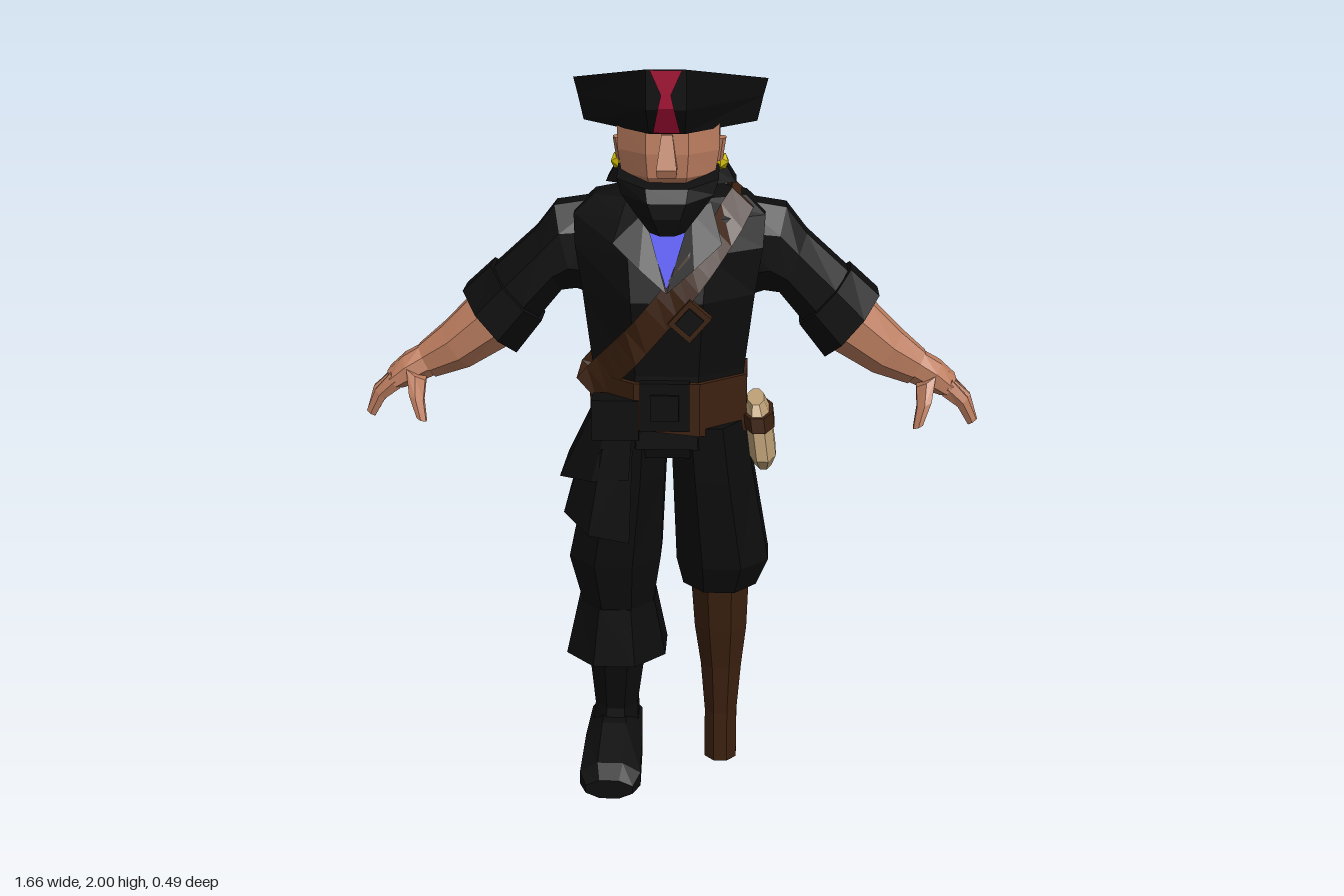
import * as THREE from 'three';

const mat = (name, color) => Object.assign(new THREE.MeshStandardMaterial({ color, flatShading: true, side: THREE.DoubleSide }), { name });
const V = (x, y, z) => new THREE.Vector3(x, y, z);

// Ring of n points around c, touching c +- u and c +- v with flat sides
function ring(c, u, v, n = 8) {
  const k = 1 / Math.cos(Math.PI / n);
  return Array.from({ length: n }, (_, i) => {
    const t = ((i + 0.5) / n) * Math.PI * 2;
    return c.clone().addScaledVector(u, k * Math.cos(t)).addScaledVector(v, k * Math.sin(t));
  });
}
// Horizontal ring: centre x, height, half width, front z, back z, rise towards the back
const H = (cx, y, a, zf, zb, rise = 0, n = 8) =>
  ring(V(cx, y, (zf + zb) / 2), V(a, 0, 0), V(0, -rise, (zf - zb) / 2), n);
// Limb ring: from an upper edge point to a lower edge point, front z, back z
const L = (s, tx, ty, bx, by, zf, zb, n = 8) =>
  ring(V(s * (tx + bx) / 2, (ty + by) / 2, (zf + zb) / 2), V(s * (tx - bx) / 2, (ty - by) / 2, 0), V(0, 0, (zf - zb) / 2), n);

function build(tris) {
  return new THREE.BufferGeometry().setFromPoints(tris);
}
// Capped skin through rings, turned so that it faces outwards
function loft(rings) {
  const t = [], n = rings[0].length;
  for (let r = 0; r < rings.length - 1; r++) {
    for (let i = 0; i < n; i++) {
      const j = (i + 1) % n, A = rings[r], B = rings[r + 1];
      t.push(A[i], A[j], B[j], A[i], B[j], B[i]);
    }
  }
  const last = rings[rings.length - 1];
  for (let i = 1; i < n - 1; i++) t.push(rings[0][0], rings[0][i + 1], rings[0][i], last[0], last[i], last[i + 1]);
  let volume = 0;
  const o = rings[0][0], d = (p) => p.clone().sub(o);
  for (let i = 0; i < t.length; i += 3) volume += d(t[i]).dot(d(t[i + 1]).cross(d(t[i + 2])));
  if (volume < 0) for (let i = 0; i < t.length; i += 3) [t[i + 1], t[i + 2]] = [t[i + 2], t[i + 1]];
  return build(t);
}
// Open strip between two rows of points
function strip(A, B) {
  const t = [];
  for (let i = 0; i < A.length - 1; i++) t.push(A[i], B[i], B[i + 1], A[i], B[i + 1], A[i + 1]);
  return build(t);
}
// Thin flat plate
function plate(pts) {
  const p = pts.map((q) => V(...q)), t = [];
  for (let i = 1; i < p.length - 1; i++) t.push(p[0], p[i], p[i + 1]);
  return build(t);
}

export function createModel() {
  const model = new THREE.Group();
  const black = mat('blackCloth', 0x0d0d0d), brown = mat('brownLeather', 0x3c2110), skin = mat('skin', 0xbc7d5f);
  const cream = mat('creamCanvas', 0xbfa278), blue = mat('blueShirt', 0x1212e6);
  const red = mat('redTrim', 0xa80f35), gold = mat('gold', 0xd2be00);
  const add = (name, geometry, material) => {
    if (!geometry.attributes.normal) geometry.computeVertexNormals();
    const m = new THREE.Mesh(geometry, material);
    m.name = name;
    model.add(m);
    return m;
  };

  // Torso: height, half width, front z, back z
  const torso = [
    [1.0, 0.195, 0.15, -0.16], [1.2, 0.2, 0.145, -0.17], [1.4, 0.225, 0.16, -0.205], [1.52, 0.245, 0.135, -0.205],
    [1.6, 0.25, 0.085, -0.19], [1.645, 0.2, 0.03, -0.17], [1.66, 0.13, 0.0, -0.15],
  ];
  add('coatTorso', loft(torso.map(([y, a, f, b]) => H(0, y, a, f, b))), black);
  add('collar', loft([H(0, 1.62, 0.14, 0.05, -0.18, 0.02), H(0, 1.675, 0.115, 0.0, -0.16, 0.01)]), black);
  add('shirtFront', plate([[-0.065, 1.62, 0.095], [0, 1.44, 0.172], [0.065, 1.62, 0.095]]), blue);
  for (const s of [-1, 1]) {
    add('lapel', plate([[s * 0.06, 1.625, 0.1], [0, 1.43, 0.178], [s * 0.07, 1.49, 0.165], [s * 0.14, 1.55, 0.13], [s * 0.11, 1.645, 0.06]]), black);
  }

  // Shoulder strap: a slanted loop that follows the torso
  const surface = (x, y, side) => {
    let i = 0;
    while (i < torso.length - 2 && torso[i + 1][0] < y) i++;
    const k = THREE.MathUtils.clamp((y - torso[i][0]) / (torso[i + 1][0] - torso[i][0]), 0, 1);
    const [, a, f, b] = torso[i].map((q, j) => q + (torso[i + 1][j] - q) * k);
    const out = Math.max(0.414, Math.min(1, 1.414 - Math.abs(x) / a));
    return (f + b) / 2 + side * (((f - b) / 2) * out + 0.016);
  };
  const upper = [], lower = [];
  for (let i = 0; i <= 32; i++) {
    const side = i % 32 < 16 ? 1 : -1, s = i < 16 ? i / 15 : (31 - i) / 15;
    const x = i === 32 ? 0.19 : 0.19 - 0.405 * s, y = i === 32 ? 1.65 : 1.65 - 0.51 * Math.pow(s, 0.9);
    const w = 0.04;
    upper.push(V(x - w * 0.7, y + w * 0.75, surface(x - w * 0.7, Math.min(y + w * 0.75, 1.65), side)));
    lower.push(V(x + w * 0.7, y - w * 0.75, surface(x + w * 0.7, y - w * 0.75, side)));
    if (s < 0.15) upper[i].y = Math.min(upper[i].y, 1.668);
  }
  add('shoulderStrap', strip(upper, lower), brown);
  const strapBuckle = add('strapBuckle', new THREE.BoxGeometry(0.085, 0.075, 0.03), brown);
  const buckleFrame = add('strapBuckleFrame', new THREE.BoxGeometry(0.055, 0.05, 0.008), black);
  strapBuckle.position.set(0.06, 1.36, 0.172);
  buckleFrame.position.set(0.06, 1.36, 0.19);
  strapBuckle.rotation.z = buckleFrame.rotation.z = 0.85;

  // Waist belt, buckle and the coat front that overlaps it
  add('belt', loft([1.05, 1.185].map((y) => {
    const r = H(0, y, 0.208, 0.162, -0.178);
    r.forEach((p) => { p.y -= p.x * (y < 1.1 ? 0.1 : 0); });
    return r;
  })), brown);
  add('coatFrontFlap', loft([H(-0.135, 1.03, 0.062, 0.17, 0.1, 0, 4), H(-0.135, 1.14, 0.062, 0.17, 0.1, 0, 4)]), black);
  add('beltBuckle', new THREE.BoxGeometry(0.13, 0.13, 0.03), black).position.set(-0.005, 1.125, 0.162);
  add('beltBucklePlate', new THREE.BoxGeometry(0.075, 0.07, 0.008), black).position.set(-0.005, 1.125, 0.181);

  // Pouch on the left hip
  add('pouch', loft([H(0.255, 0.92, 0.022, 0.07, -0.055), H(0.252, 0.955, 0.036, 0.11, -0.09),
    H(0.238, 1.06, 0.036, 0.105, -0.085), H(0.232, 1.105, 0.022, 0.08, -0.06)]), cream);
  add('pouchStrap', loft([H(0.241, 1.035, 0.042, 0.112, -0.092), H(0.236, 1.075, 0.042, 0.108, -0.088)]), brown);

  // Trousers
  add('hips', loft([H(0, 0.97, 0.19, 0.13, -0.15), H(0, 1.08, 0.195, 0.15, -0.165)]), black);
  add('rightTrouser', loft([H(-0.105, 1.06, 0.1, 0.15, -0.165), H(-0.115, 0.9, 0.105, 0.14, -0.16),
    H(-0.147, 0.65, 0.125, 0.125, -0.14), H(-0.14, 0.5, 0.095, 0.1, -0.12)]), black);
  add('leftTrouser', loft([H(0.105, 1.06, 0.1, 0.15, -0.165), H(0.12, 0.9, 0.108, 0.14, -0.16),
    H(0.147, 0.65, 0.125, 0.125, -0.14), H(0.14, 0.57, 0.1, 0.1, -0.13)]), black);

  // Two layers of coat tail around the right hip
  const tail = (pts) => pts.map((p) => V(...p));
  add('upperCoatTail', strip(
    tail([[-0.09, 1.06, 0.16], [-0.16, 1.06, 0.14], [-0.21, 1.06, 0.07], [-0.21, 1.06, -0.08], [-0.1, 1.06, -0.17], [0, 1.06, -0.17]]),
    tail([[-0.1, 0.92, 0.17], [-0.2, 0.91, 0.16], [-0.29, 0.9, 0.09], [-0.285, 0.9, -0.11], [-0.14, 0.9, -0.205], [0, 0.92, -0.2]])), black);
  add('lowerCoatTail', strip(
    tail([[-0.09, 1.0, 0.16], [-0.17, 1.0, 0.155], [-0.225, 0.98, 0.08], [-0.225, 0.98, -0.1], [-0.1, 1.0, -0.175], [-0.01, 1.0, -0.17]]),
    tail([[-0.1, 0.74, 0.172], [-0.21, 0.76, 0.17], [-0.28, 0.8, 0.1], [-0.28, 0.8, -0.12], [-0.15, 0.765, -0.215], [-0.02, 0.79, -0.2]])), black);

  // Boot on the right leg
  add('bootCuff', loft([H(-0.148, 0.35, 0.138, 0.12, -0.18), H(-0.145, 0.515, 0.105, 0.105, -0.14)]), black);
  add('bootShaft', loft([H(-0.155, 0.1, 0.065, 0.03, -0.14), H(-0.152, 0.17, 0.06, 0.02, -0.125), H(-0.145, 0.4, 0.085, 0.07, -0.13)]), black);
  add('bootFoot', loft([[0.245, 0.065, 0.01, 0.065], [0.2, 0.084, 0, 0.095], [0.05, 0.08, 0, 0.14], [-0.1, 0.072, 0, 0.16], [-0.15, 0.06, 0.01, 0.12]]
    .map(([z, a, y0, y1]) => ring(V(-0.155, (y0 + y1) / 2, z), V(a, 0, 0), V(0, (y1 - y0) / 2, 0)))), black);

  // Wooden peg for the left leg
  add('pegLeg', loft([H(0.145, 0, 0.045, 0, -0.1), H(0.145, 0.15, 0.045, 0, -0.105), H(0.145, 0.3, 0.057, 0.015, -0.115),
    H(0.143, 0.42, 0.072, 0.035, -0.125), H(0.14, 0.58, 0.08, 0.055, -0.12)]), brown);

  // Arms, mirrored
  for (const s of [-1, 1]) {
    const side = s > 0 ? 'left' : 'right';
    add(side + 'Sleeve', loft([L(s, 0.17, 1.63, 0.18, 1.36, 0.0, -0.18), L(s, 0.305, 1.61, 0.25, 1.385, 0.01, -0.18),
      L(s, 0.36, 1.54, 0.29, 1.38, 0.01, -0.175), L(s, 0.47, 1.44, 0.365, 1.29, 0.01, -0.175)]), black);
    add(side + 'Cuff', loft([L(s, 0.478, 1.445, 0.345, 1.295, 0.03, -0.2), L(s, 0.555, 1.375, 0.415, 1.205, 0.03, -0.2)]), black);
    add(side + 'Forearm', loft([L(s, 0.535, 1.355, 0.435, 1.225, 0.005, -0.155), L(s, 0.62, 1.27, 0.545, 1.16, -0.005, -0.145),
      L(s, 0.685, 1.215, 0.64, 1.13, -0.02, -0.115)]), skin);
    add(side + 'Palm', loft([L(s, 0.68, 1.215, 0.642, 1.135, -0.02, -0.11), L(s, 0.725, 1.19, 0.69, 1.115, 0.0, -0.12),
      L(s, 0.768, 1.15, 0.728, 1.102, 0.005, -0.13)]), skin);
    for (let i = 0; i < 4; i++) {
      const z = -0.012 - i * 0.035, e = [0, 0.01, 0.003, -0.012][i];
      add(side + 'Finger', loft([L(s, 0.755, 1.152, 0.73, 1.11, z + 0.016, z - 0.016, 6),
        L(s, 0.798 + e, 1.105, 0.772 + e, 1.08, z + 0.016, z - 0.016, 6),
        L(s, 0.824 + e * 0.6, 1.045 - e, 0.802 + e * 0.6, 1.03 - e, z + 0.012, z - 0.012, 6)]), skin);
    }
    add(side + 'Thumb', loft([L(s, 0.71, 1.165, 0.66, 1.135, 0.01, -0.04, 6), L(s, 0.698, 1.105, 0.66, 1.09, 0.05, 0.01, 6),
      L(s, 0.675, 1.05, 0.65, 1.04, 0.075, 0.045, 6)]), skin);
    add('earring', new THREE.IcosahedronGeometry(0.024, 0), gold).position.set(s * 0.132, 1.735, -0.02);
    add('ear', loft([H(s * 0.125, 1.74, 0.012, 0.005, -0.025), H(s * 0.132, 1.8, 0.014, 0.015, -0.035)]), skin);
  }

  // Head, nose, beard and hair
  add('head', loft([H(0, 1.56, 0.075, 0.05, -0.1), H(0, 1.66, 0.09, 0.09, -0.1), H(0, 1.72, 0.12, 0.13, -0.11),
    H(0, 1.78, 0.13, 0.135, -0.12), H(0, 1.86, 0.13, 0.13, -0.12)]), skin);
  add('nose', loft([H(0, 1.725, 0.024, 0.16, 0.11, 0, 4), H(0, 1.745, 0.026, 0.168, 0.11, 0, 4), H(0, 1.83, 0.014, 0.14, 0.11, 0, 4)]), skin);
  add('beard', loft([H(0, 1.585, 0.045, 0.153, 0.1, 0.01), H(0, 1.64, 0.085, 0.165, 0.03, 0.02),
    H(0, 1.685, 0.118, 0.165, -0.015, 0.025), H(0, 1.725, 0.13, 0.15, -0.015, 0.03)]), black);
  add('hair', loft([H(0, 1.665, 0.172, -0.03, -0.24), H(0, 1.75, 0.125, -0.035, -0.172), H(0, 1.85, 0.13, -0.035, -0.165)]), black);

  // Three-cornered hat with a sloping top and red trim on the front
  const hatRing = (half, height) => [...half, ...half.slice().reverse().map(([x, z]) => [-x, z])].map(([x, z]) => V(x, height(z), z));
  add('hat', loft([
    hatRing([[0.045, 0.15], [0.225, -0.05], [0.195, -0.15], [0.08, -0.19]], () => 1.835),
    hatRing([[0.05, 0.186], [0.24, -0.055], [0.215, -0.165], [0.08, -0.205]], () => 1.9),
    hatRing([[0.05, 0.19], [0.252, -0.065], [0.22, -0.17], [0.08, -0.215]], (z) => 1.957 + 0.226 * z),
  ]), black);
  add('hatTrimTop', plate([[-0.04, 1.999, 0.196], [0, 1.91, 0.194], [0.04, 1.999, 0.196]]), red);
  add('hatTrimBottom', plate([[-0.034, 1.838, 0.158], [0.034, 1.838, 0.158], [0.02, 1.905, 0.195], [-0.02, 1.905, 0.195]]), red);
  add('hatTrimKnot', plate([[-0.02, 1.905, 0.195], [0.02, 1.905, 0.195], [0.012, 1.94, 0.196], [-0.012, 1.94, 0.196]]), red);

  return model;
}
